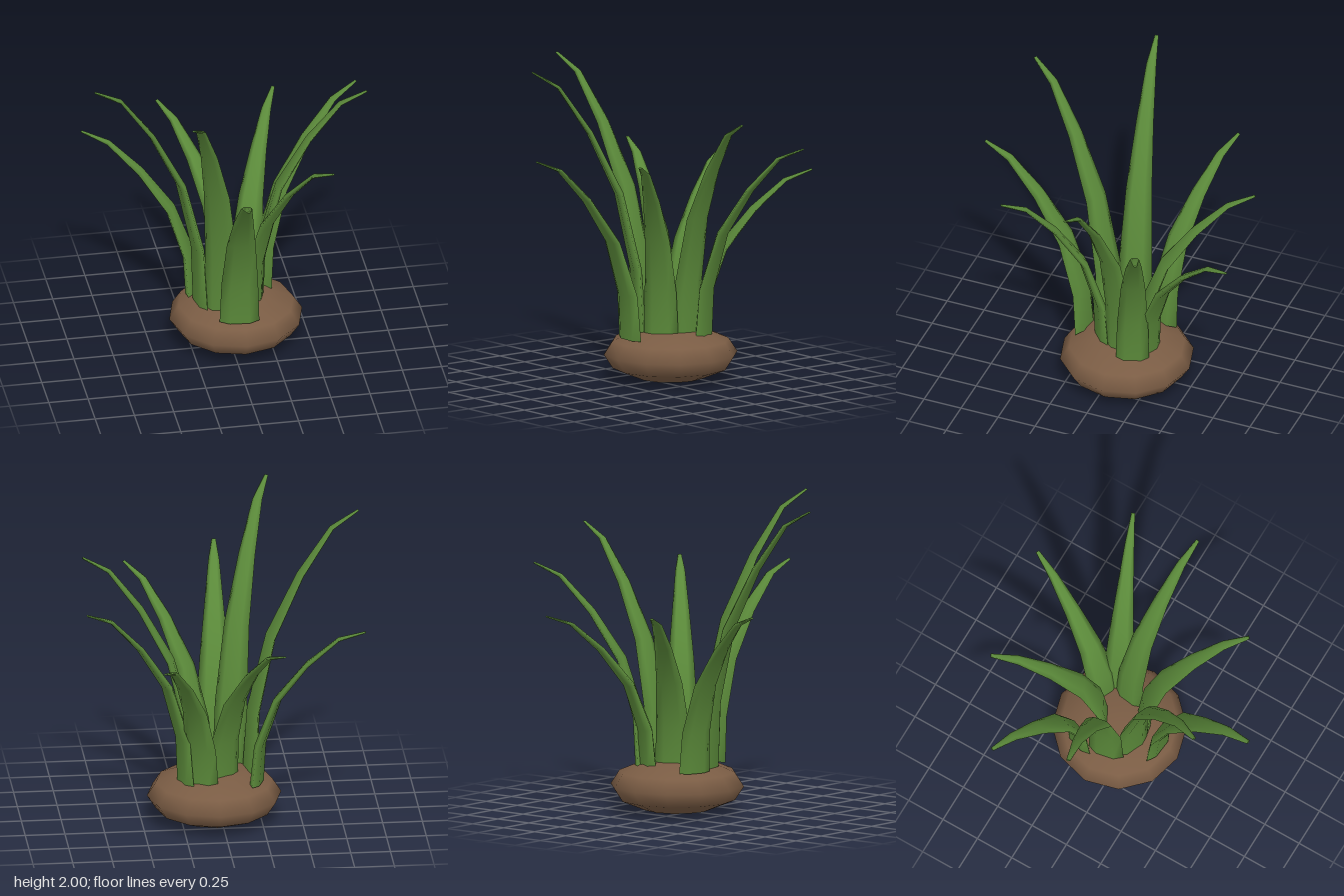
import * as THREE from 'three';
import { mergeVertices } from 'three/addons/utils/BufferGeometryUtils.js';

// Shared blade profile at six rings from base to tip
const OUT = [0, 0.03, 0.19, 0.465, 0.755, 1];       // share of outward reach
const RISE = [0, 0.24, 0.53, 0.765, 0.94, 1];       // share of height
const WIDTH = [1, 0.92, 0.72, 0.48, 0.28, 0.11];    // share of base half width
const THICK = [0.036, 0.03, 0.024, 0.018, 0.012, 0.006];

// Flattened six-sided tube that arches from base to tip
function bladeGeometry(base, tip, halfWidth) {
  const reach = new THREE.Vector3(tip[0] - base[0], 0, tip[2] - base[2]);
  const length = reach.length();
  const dir = reach.clone().normalize();
  const up = new THREE.Vector3(0, 1, 0);
  const side = dir.clone().cross(up);
  const rise = tip[1] - base[1];

  let geo = new THREE.CylinderGeometry(1, 1, 1, 6, 5);
  geo.deleteAttribute('uv');
  geo = mergeVertices(geo);
  const pos = geo.attributes.position;
  const p = new THREE.Vector3();
  for (let i = 0; i < pos.count; i++) {
    const k = Math.round((pos.getY(i) + 0.5) * 5);
    const a = Math.max(k - 1, 0), b = Math.min(k + 1, 5);
    // Slope of the arch at this ring
    const h = (OUT[b] - OUT[a]) * length, v = (RISE[b] - RISE[a]) * rise;
    const n = Math.hypot(h, v);
    const t = pos.getX(i) * THICK[k];
    p.set(...base)
      .addScaledVector(dir, OUT[k] * length + t * v / n)
      .addScaledVector(up, RISE[k] * rise - t * h / n)
      .addScaledVector(side, pos.getZ(i) * WIDTH[k] * halfWidth);
    pos.setXYZ(i, p.x, p.y, p.z);
  }
  geo.computeVertexNormals();
  return geo;
}

export function createModel() {
  const group = new THREE.Group();
  const leafGreen = new THREE.MeshStandardMaterial({ color: 0x5b8a3a });
  leafGreen.name = 'leafGreen';
  const soilBrown = new THREE.MeshStandardMaterial({ color: 0x7a5c44 });
  soilBrown.name = 'soilBrown';

  // Squashed mound of soil
  const mound = new THREE.Mesh(new THREE.SphereGeometry(1, 12, 6), soilBrown);
  mound.name = 'soilMound';
  mound.scale.set(0.423, 0.175, 0.423);
  mound.position.set(0.045, 0.18, -0.085);
  group.add(mound);

  // Blades: base, tip, half width
  const blades = [
    [[0.015, 0.3, 0.215], [-0.05, 1.5, 0.91], 0.125],
    [[0.12, 0.31, 0.05], [0.55, 1.51, 0.56], 0.11],
    [[0.19, 0.31, -0.1], [0.865, 1.76, 0], 0.105],
    [[0.235, 0.31, -0.2], [0.88, 1.555, -0.48], 0.105],
    [[0.14, 0.31, -0.26], [0.43, 1.31, -0.91], 0.11],
    [[0, 0.32, -0.18], [-0.33, 1.355, -0.8], 0.115],
    [[-0.21, 0.3, -0.23], [-0.87, 1.375, -0.47], 0.11],
    [[-0.185, 0.31, -0.045], [-0.88, 1.98, 0.09], 0.115],
    [[-0.07, 0.31, 0.075], [-0.36, 2, 0.7], 0.115],
  ];
  blades.forEach(([base, tip, halfWidth], i) => {
    const blade = new THREE.Mesh(bladeGeometry(base, tip, halfWidth), leafGreen);
    blade.name = `blade${i + 1}`;
    group.add(blade);
  });
  return group;
}
